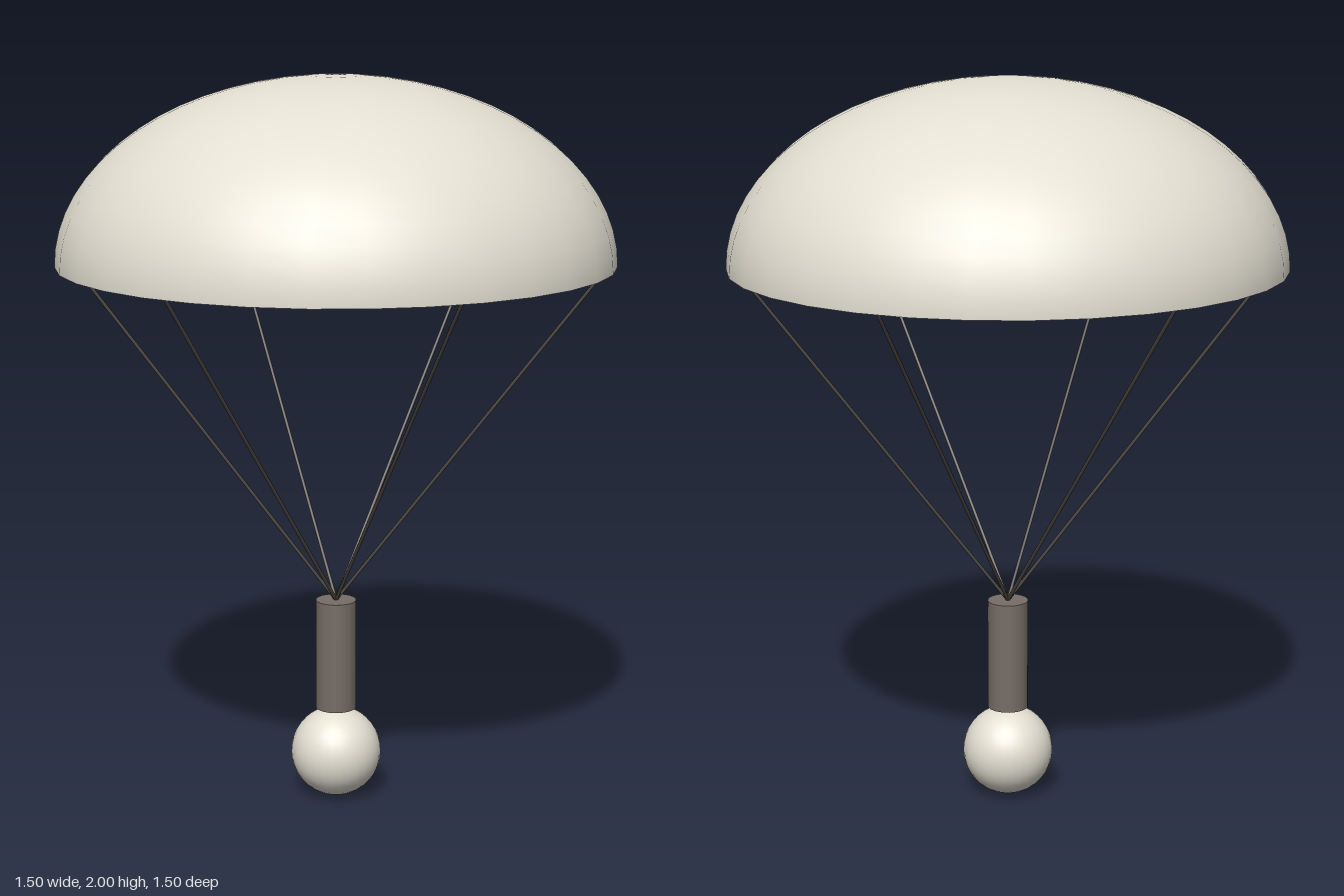
import * as THREE from 'three';

export function createModel() {
  const model = new THREE.Group();
  const cloth = new THREE.MeshStandardMaterial({ name: 'cream cloth', color: 0xe3dfd2, side: THREE.DoubleSide });
  const cream = new THREE.MeshStandardMaterial({ name: 'cream', color: 0xe3dfd2 });
  const brown = new THREE.MeshStandardMaterial({ name: 'grey brown', color: 0x766e66 });
  const dark = new THREE.MeshStandardMaterial({ name: 'dark cord', color: 0x4c4742 });

  const add = (name, geometry, material, y = 0) => {
    const mesh = new THREE.Mesh(geometry, material);
    mesh.name = name;
    mesh.position.y = y;
    model.add(mesh);
    return mesh;
  };

  // Open canopy: a flattened half sphere
  const dome = new THREE.SphereGeometry(1, 32, 16, 0, Math.PI * 2, 0, Math.PI / 2);
  dome.scale(0.749, 0.5, 0.749);
  add('canopy', dome, cloth, 1.5);

  // Six cords from the rim down to the top of the canister
  const bottom = new THREE.Vector3(0, 0.563, 0);
  for (let i = 0; i < 6; i++) {
    const a = (i * Math.PI) / 3;
    const top = new THREE.Vector3(0.724 * Math.cos(a), 1.5, 0.724 * Math.sin(a));
    const dir = top.clone().sub(bottom);
    const cord = add('cord', new THREE.CylinderGeometry(0.005, 0.005, dir.length(), 6), dark);
    cord.position.copy(top).add(bottom).multiplyScalar(0.5);
    cord.quaternion.setFromUnitVectors(new THREE.Vector3(0, 1, 0), dir.normalize());
  }

  // Canister and the ball hanging under it
  add('canister', new THREE.CylinderGeometry(0.056, 0.056, 0.311, 24), brown, 0.4075);
  add('ball', new THREE.SphereGeometry(0.125, 32, 20), cream, 0.125);
  return model;
}
